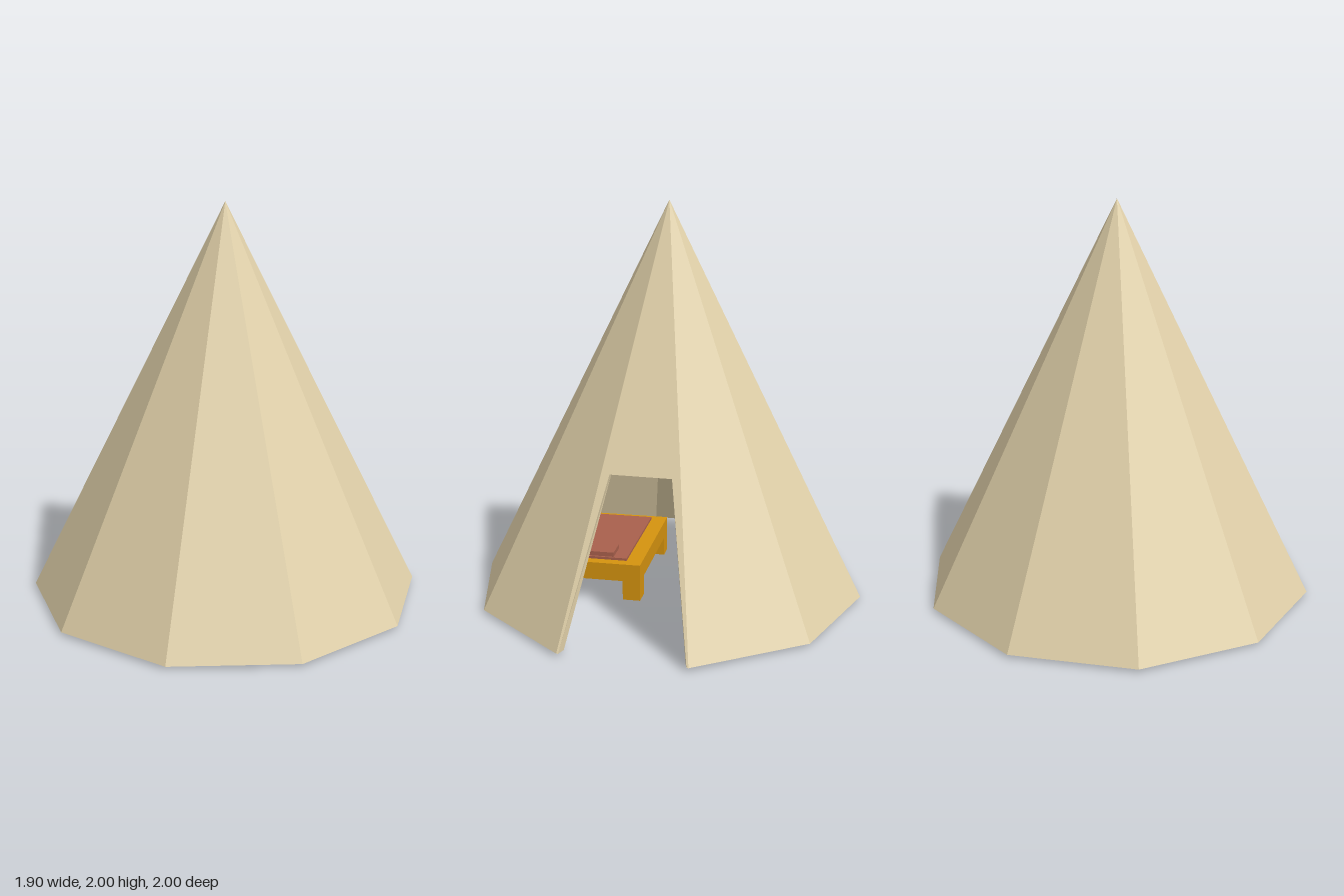
import * as THREE from 'three';

const BASE = 0.015, APEX = 2, SIDES = 10, INNER = 0.955;
const canvasMat = new THREE.MeshStandardMaterial({ color: 0xdfcfa8, flatShading: true, side: THREE.DoubleSide });
const woodMat = new THREE.MeshStandardMaterial({ color: 0xd4930f });
const clothMat = new THREE.MeshStandardMaterial({ color: 0xa8604c });

// Mesh from flat polygons, each cut into a fan from its first corner
function polyMesh(name, polys) {
  const pos = [];
  for (const p of polys)
    for (let i = 1; i < p.length - 1; i++) pos.push(...p[0], ...p[i], ...p[i + 1]);
  const geo = new THREE.BufferGeometry();
  geo.setAttribute('position', new THREE.Float32BufferAttribute(pos, 3));
  geo.computeVertexNormals();
  const mesh = new THREE.Mesh(geo, canvasMat);
  mesh.name = name;
  return mesh;
}

// Point on the +x wall at height y, z across; k scales to the inner skin
function wallPoint(k, y, z) {
  const apex = BASE + (APEX - BASE) * k;
  return [Math.cos(Math.PI / SIDES) * k * (apex - y) / (apex - BASE), y, z];
}

function wallOutline(k) {
  const half = Math.sin(Math.PI / SIDES) * k;
  return {
    apex: [0, BASE + (APEX - BASE) * k, 0],
    left: wallPoint(k, BASE, half), right: wallPoint(k, BASE, -half),
    doorL: wallPoint(k, BASE, 0.3 * k), doorR: wallPoint(k, BASE, -0.3 * k),
    topL: wallPoint(k, 0.77, 0.15), topR: wallPoint(k, 0.77, -0.15),
  };
}

function box(parent, name, size, at, mat = woodMat) {
  const mesh = new THREE.Mesh(new THREE.BoxGeometry(...size), mat);
  mesh.position.set(...at);
  mesh.name = name;
  parent.add(mesh);
  return mesh;
}

function legs(parent, name, w, h, dx, dz) {
  for (const sx of [-1, 1])
    for (const sz of [-1, 1]) box(parent, name, [w, h, w], [sx * dx, h / 2, sz * dz]);
}

export function createModel() {
  const model = new THREE.Group();
  model.name = 'tent';
  const o = wallOutline(1), n = wallOutline(INNER);

  // Nine closed wall panels with outer skin, inner skin and bottom rim
  for (let i = 1; i < SIDES; i++) {
    const panel = polyMesh('wallPanel', [
      [o.apex, o.right, o.left],
      [n.apex, n.left, n.right],
      [o.left, o.right, n.right, n.left],
    ]);
    panel.rotation.y = i * 2 * Math.PI / SIDES;
    model.add(panel);
  }

  // Panel with the doorway
  model.add(polyMesh('doorPanel', [
    [o.apex, o.topL, o.doorL, o.left],
    [o.apex, o.topR, o.topL],
    [o.apex, o.right, o.doorR, o.topR],
    [n.apex, n.left, n.doorL, n.topL],
    [n.apex, n.topL, n.topR],
    [n.apex, n.topR, n.doorR, n.right],
    [o.left, o.doorL, n.doorL, n.left],
    [o.doorR, o.right, n.right, n.doorR],
    [o.doorL, o.topL, n.topL, n.doorL],
    [o.topL, o.topR, n.topR, n.topL],
    [o.topR, o.doorR, n.doorR, n.topR],
  ]));

  // Small square table
  const table = new THREE.Group();
  table.name = 'table';
  table.position.set(0, 0, -0.345);
  box(table, 'tableTop', [0.35, 0.025, 0.35], [0, 0.268, 0]);
  legs(table, 'tableLeg', 0.052, 0.26, 0.145, 0.145);
  model.add(table);

  // Low bed with stubby legs and a cushion
  const bed = new THREE.Group();
  bed.name = 'bed';
  bed.position.set(-0.045, BASE, 0.325);
  bed.rotation.y = 0.04;
  box(bed, 'bedFrame', [0.72, 0.09, 0.46], [0, 0.145, 0]);
  legs(bed, 'bedLeg', 0.09, 0.11, 0.315, 0.185);
  box(bed, 'blanket', [0.62, 0.015, 0.36], [0, 0.195, 0.03], clothMat);
  box(bed, 'cushion', [0.12, 0.03, 0.26], [0.24, 0.21, 0.05], clothMat);
  model.add(bed);

  return model;
}
